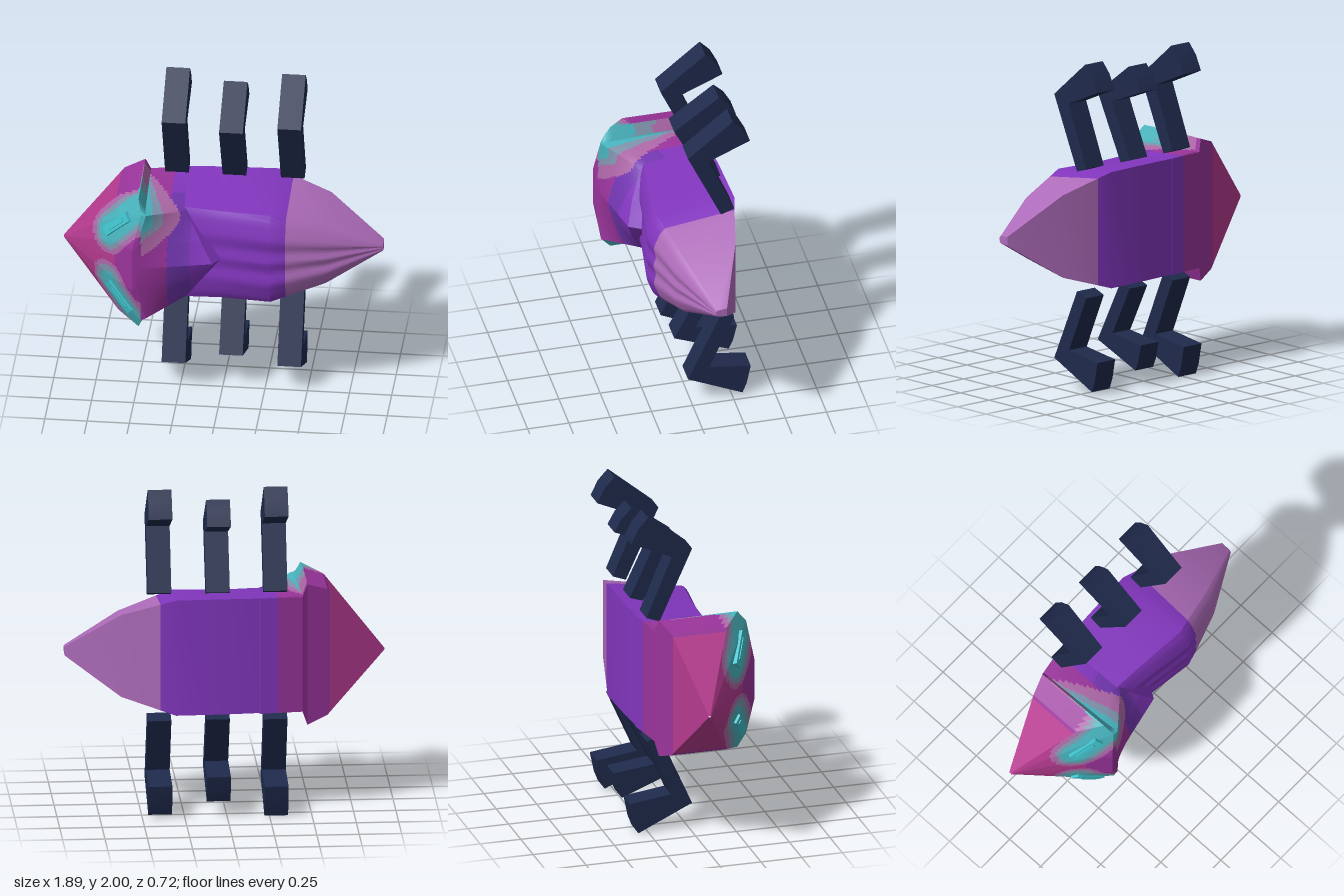
import * as THREE from 'three';
import { toCreasedNormals } from 'three/addons/utils/BufferGeometryUtils.js';

const mat = (name, color) => {
  const m = new THREE.MeshStandardMaterial({ color });
  m.name = name;
  return m;
};
const materials = [
  mat('purple', 0x8236be), mat('mauve', 0xae6cba), mat('magenta', 0xb43a8e), mat('plum', 0x9a349c),
  mat('violet', 0x7236b0), mat('teal', 0x48b4be), mat('mutedTeal', 0x7f93ac), mat('dustyPink', 0xae68a8),
];
const eyeMaterial = mat('brightTeal', 0x40c2cc);
const legMaterial = mat('navy', 0x1f2a4c);
const [PURPLE, MAUVE, MAGENTA, PLUM, VIOLET, TEAL, MUTED, PINK] = [0, 1, 2, 3, 4, 5, 6, 7];

// Skin closed rings of points, subdivided, with a colour rule applied to each patch
function loft(name, rings, along, around, rule, crease) {
  const buckets = materials.map(() => []);
  const n = rings[0].length;
  const at = (i, j, u, v) => {
    const k = (j + 1) % n;
    const a = rings[i][j].clone().lerp(rings[i][k], v);
    return a.lerp(rings[i + 1][j].clone().lerp(rings[i + 1][k], v), u);
  };
  for (let i = 0; i < rings.length - 1; i++)
    for (let j = 0; j < n; j++)
      for (let s = 0; s < along; s++)
        for (let t = 0; t < around; t++) {
          const u = s / along, U = (s + 1) / along, v = t / around, V = (t + 1) / around;
          const a = at(i, j, u, v), b = at(i, j, u, V), c = at(i, j, U, V), d = at(i, j, U, v);
          const mid = a.clone().add(b).add(c).add(d).multiplyScalar(0.25);
          for (const p of [a, b, c, a, c, d]) buckets[rule(mid)].push(p.x, p.y, p.z);
        }
  const geo = new THREE.BufferGeometry();
  let start = 0;
  buckets.forEach((b, m) => {
    if (b.length) geo.addGroup(start, b.length / 3, m);
    start += b.length / 3;
  });
  geo.setAttribute('position', new THREE.Float32BufferAttribute(buckets.flat(), 3));
  const mesh = new THREE.Mesh(toCreasedNormals(geo, crease), materials);
  mesh.name = name;
  return mesh;
}

// Mirror half a ring, given as [x, half width, z] from belly to back centre
function mirrorRing(yc, half) {
  const up = half.map(([x, h, z]) => new THREE.Vector3(x, yc + h, z));
  const down = half.slice(0, -1).reverse().map(([x, h, z]) => new THREE.Vector3(x, yc - h, z));
  return [...up, ...down];
}

// Abdomen ring: flat belly, sloping sides and a softly ridged back
function abdomenRing([x, belly, back, zBelly, zEdge, zTop]) {
  const half = [[x, belly, zBelly]];
  const steps = 12;
  for (let i = 0; i <= steps; i++) {
    const f = 1 - i / steps;
    const ridge = 0.14 * (zTop - zEdge) * (Math.cos(f * Math.PI * 4) - 1) * (1 - f);
    half.push([x, back * f, zEdge + (zTop - zEdge) * (1 - f ** 4) + ridge]);
  }
  return mirrorRing(0.975, half);
}

// Pick the first band whose limit exceeds the value
function band(value, limits, otherwise) {
  const i = limits.findIndex((limit) => value < limit);
  return i < 0 ? otherwise : [TEAL, MUTED, PINK][i];
}

// Markings around the eyes, the collar rim and the upper shoulder
const marks = [
  new THREE.Line3(new THREE.Vector3(-0.65, 1.13, 0.2), new THREE.Vector3(-0.46, 1.36, 0.3)),
  new THREE.Line3(new THREE.Vector3(-0.64, 0.8, 0.2), new THREE.Vector3(-0.47, 0.57, 0.29)),
];
function headColour(p) {
  let base = MAGENTA;
  if (p.x > -0.62) base = PLUM;
  if (p.x > -0.3) base = p.z > 0 && p.x < -0.17 ? VIOLET : PURPLE;

  const upper = p.y > 0.96;
  const onRim = p.x > -0.481 && (p.y > 1.322 || p.y < 0.61) && p.x < -0.425;
  if (onRim) return band(-p.z, [-0.13, 0, upper ? 0.2 : 0.03], base);
  if (upper && p.x > -0.45) {
    if (p.z < -0.18) return base;
    const spread = (p.x + 0.47) / (p.z + 0.22) + Math.max(0, 1.23 - p.y) * 3;
    return band(spread, [0.17, 0.3, 0.58], base);
  }
  if (p.x > -0.45) return base;
  const d = marks[upper ? 0 : 1].closestPointToPoint(p, true, new THREE.Vector3()).distanceTo(p);
  return band(d, upper ? [0.085, 0.115, 0.145] : [0.07, 0.11, 0.14], base);
}

// Slanted raised eye slit; side is 1 above, -1 below
function eye(side, x, y, z) {
  const group = new THREE.Group();
  group.name = side > 0 ? 'upperEye' : 'lowerEye';
  const normal = new THREE.Vector3(-0.85, 0.28 * side, 1).normalize();
  const dir = new THREE.Vector3(0.15, 0.17 * side, 0.1);
  dir.addScaledVector(normal, -dir.dot(normal)).normalize();
  const cross = new THREE.Vector3().crossVectors(normal, dir);
  group.quaternion.setFromRotationMatrix(new THREE.Matrix4().makeBasis(dir, cross, normal));
  group.position.set(x, y, z);
  const lid = new THREE.Mesh(new THREE.BoxGeometry(0.22, 0.06, 0.04), eyeMaterial);
  lid.name = 'eyeLid';
  const slit = new THREE.Mesh(new THREE.BoxGeometry(0.14, 0.025, 0.02), eyeMaterial);
  slit.name = 'eyeSlit';
  slit.position.z = 0.016;
  group.add(lid, slit);
  return group;
}

// Bent legs as [z, distance from hip] outlines
const upperOutline = [[-0.18, 0], [0.02, 0.44], [-0.25, 0.665], [-0.31, 0.6], [-0.355, 0.51], [-0.105, 0.4], [-0.26, 0.03]];
const lowerOutline = [[-0.18, 0], [0.02, 0.45], [-0.31, 0.605], [-0.335, 0.54], [-0.36, 0.415], [-0.11, 0.38], [-0.26, 0.03]];
function leg(name, x, hip, side, outline, scale) {
  const shape = new THREE.Shape(outline.map(([z, y]) => new THREE.Vector2(z, hip + side * y * scale)));
  const geo = new THREE.ExtrudeGeometry(shape, { depth: 0.14, bevelEnabled: false });
  geo.translate(0, 0, -0.07).rotateY(-Math.PI / 2);
  const mesh = new THREE.Mesh(toCreasedNormals(geo, 1.2), legMaterial);
  mesh.name = name;
  mesh.position.x = x;
  return mesh;
}

export function createModel() {
  const model = new THREE.Group();
  model.name = 'beetle';

  // Abdomen tapering to a blunt tail
  const stations = [
    [-0.43, 0.345, 0.29, -0.23, 0.12, 0.14],
    [-0.3, 0.348, 0.295, -0.262, 0.125, 0.155],
    [-0.2, 0.35, 0.3, -0.28, 0.13, 0.17],
    [0, 0.352, 0.29, -0.29, 0.14, 0.19],
    [0.3, 0.352, 0.29, -0.3, 0.165, 0.235],
    [0.39, 0.323, 0.262, -0.28, 0.14, 0.212],
    [0.62, 0.25, 0.19, -0.23, 0.08, 0.14],
    [0.945, 0.027, 0.022, -0.1, -0.045, -0.03],
  ];
  const rings = stations.map(abdomenRing);
  rings.push(rings.at(-1).map(() => new THREE.Vector3(0.945, 0.98, -0.065)));
  const abdomenColour = (p) => (p.x < -0.3 ? PLUM : p.x < 0.39 ? PURPLE : MAUVE);
  model.add(loft('abdomen', rings, 1, 1, abdomenColour, 0.45));

  // Pointed head, flared collar and pointed shoulder shield
  const head = [
    mirrorRing(0.94, [[-0.945, 0.005, -0.055], [-0.945, 0.005, -0.045], [-0.945, 0.004, -0.042], [-0.945, 0.002, -0.04], [-0.945, 0, -0.04]]),
    mirrorRing(0.962, [[-0.6, 0.385, -0.18], [-0.6, 0.385, 0.16], [-0.6, 0.28, 0.225], [-0.6, 0.13, 0.265], [-0.6, 0, 0.27]]),
    mirrorRing(0.96, [[-0.48, 0.43, -0.22], [-0.47, 0.43, 0.265], [-0.45, 0.355, 0.325], [-0.5, 0.13, 0.36], [-0.5, 0, 0.36]]),
    mirrorRing(0.967, [[-0.45, 0.35, -0.24], [-0.43, 0.35, 0.25], [-0.42, 0.345, 0.328], [-0.48, 0.13, 0.356], [-0.48, 0, 0.357]]),
    mirrorRing(0.972, [[-0.2, 0.352, -0.282], [-0.2, 0.3, 0.12], [-0.2, 0.285, 0.145], [-0.11, 0.13, 0.22], [-0.035, 0, 0.262]]),
    mirrorRing(0.972, [[-0.18, 0.345, -0.278], [-0.18, 0.295, 0.11], [-0.18, 0.28, 0.12], [-0.07, 0.12, 0.15], [0.02, 0, 0.17]]),
  ];
  model.add(loft('headAndShield', head, 24, 14, headColour, 0.35));

  // Eyes
  model.add(eye(1, -0.595, 1.2, 0.235), eye(-1, -0.58, 0.715, 0.237));

  // Three legs on each side: [name, x, upper scale, lower scale]
  const legs = [['front', -0.29, 1, 1], ['middle', 0.05, 0.89, 0.845], ['rear', 0.395, 0.99, 0.97]];
  for (const [name, x, up, down] of legs) {
    model.add(leg(name + 'UpperLeg', x, 1.335, 1, upperOutline, up));
    model.add(leg(name + 'LowerLeg', x, 0.61, -1, lowerOutline, down));
  }
  return model;
}
